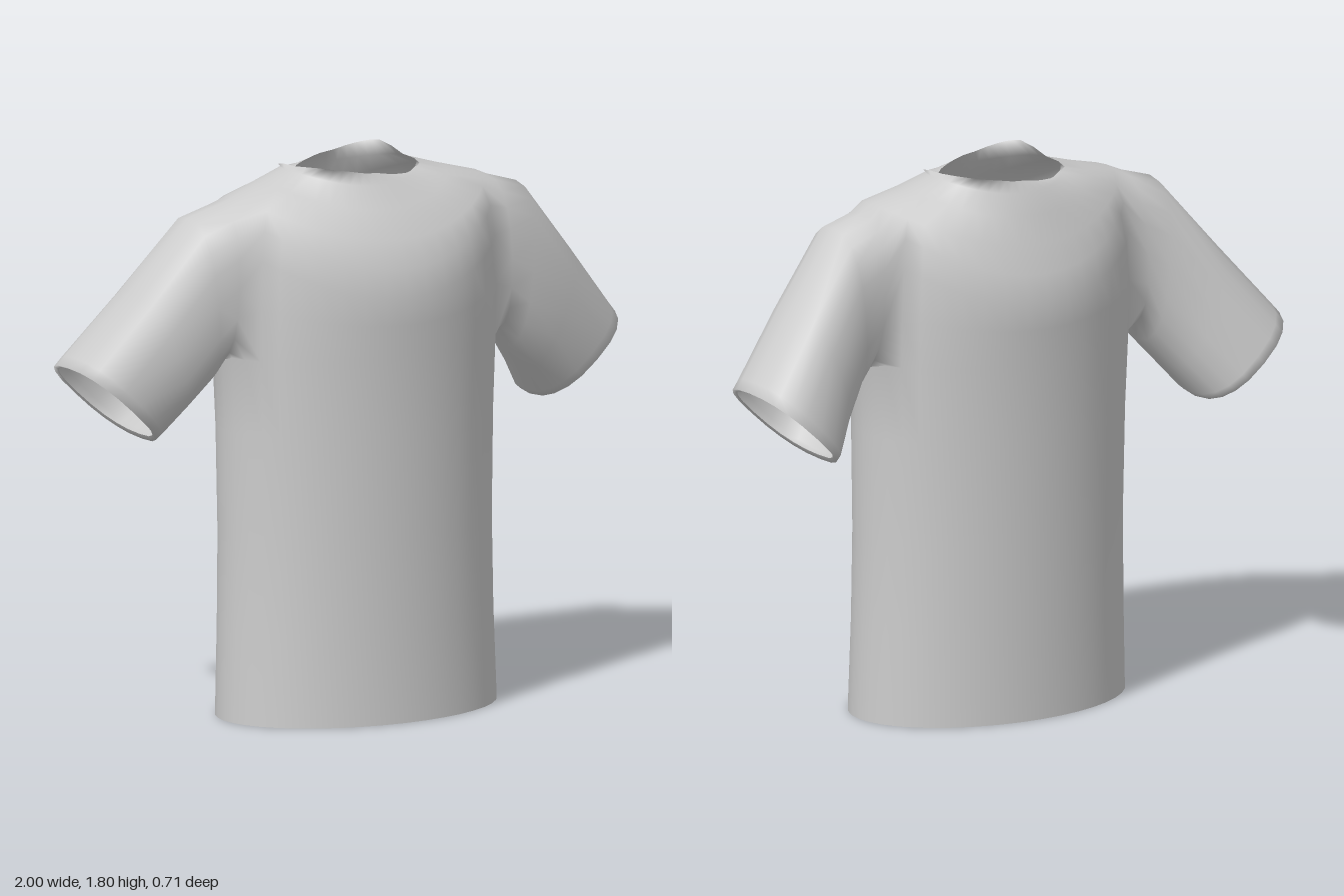
import * as THREE from 'three';

const N = 40;      // columns around the torso, column 0 at +x, column 10 at the front
const HALF = 3;    // half width of an armhole, in columns
const LOW = 4;     // ring at the armpit
const HIGH = 8;    // ring at the top of the armhole
const LOOP = 20;   // points around a sleeve

// Torso rings: half width, front z, back z, y at front and back, y at the sides
const RINGS = [
  [0.49, 0.34, -0.31, 0, 0],
  [0.48, 0.335, -0.315, 0.3, 0.3],
  [0.475, 0.335, -0.32, 0.6, 0.6],
  [0.48, 0.34, -0.33, 0.95, 0.95],
  [0.49, 0.345, -0.34, 1.2, 1.2],
  [0.49, 0.354, -0.35, 1.31, 1.38],
  [0.485, 0.355, -0.355, 1.4, 1.56],
  [0.47, 0.34, -0.335, 1.49, 1.66],
  [0.45, 0.3, -0.3, 1.58, 1.715],
  [0.33, 0.235, -0.27, 1.67, 1.745],
  [0.225, 0.18, -0.24, 1.74, 1.775],
];

// Half of the neck rim; the other half is the same turned by 180 degrees
const NECK = [
  [0.2, 1.785, 0], [0.2, 1.775, 0.11], [0.165, 1.745, 0.1], [0.11, 1.755, 0.145],
  [0.05, 1.765, 0.175], [0, 1.775, 0.185], [-0.05, 1.78, 0.19], [-0.1, 1.79, 0.19],
  [-0.16, 1.8, 0.18], [-0.2, 1.805, 0.15],
];

// Sleeve rings: top x, top y, bottom x, bottom y, front z, back z
const SLEEVE = [
  [0.5, 1.693, 0.515, 1.185, 0.145, -0.165],
  [0.61, 1.66, 0.56, 1.12, 0.15, -0.175],
  [0.8, 1.43, 0.635, 1.03, 0.125, -0.235],
  [0.975, 1.22, 0.7, 0.945, 0.085, -0.3],
  [1.0, 1.19, 0.72, 0.928, 0.08, -0.305],
  [0.985, 1.182, 0.73, 0.945, 0.068, -0.293],
];

const soften = (v) => Math.sign(v) * Math.pow(Math.abs(v), 0.82);

export function createModel() {
  const group = new THREE.Group();
  group.name = 'shirt';
  const cloth = new THREE.MeshStandardMaterial({ color: 0xcccccc, side: THREE.DoubleSide });
  cloth.name = 'light grey cloth';

  const positions = [];
  const add = (x, y, z) => positions.push(x, y, z) / 3 - 1;
  const quad = (list, a, b, c, d, flip) =>
    flip ? list.push(a, c, b, a, d, c) : list.push(a, b, c, a, c, d);

  // Torso points
  const grid = RINGS.map(([w, zf, zb, yf, ys]) =>
    Array.from({ length: N }, (_, i) => {
      const t = (i / N) * Math.PI * 2;
      const y = yf + (ys - yf) * Math.cos(t) ** 2;
      return add(w * Math.cos(t), y, (zf + zb) / 2 + ((zf - zb) / 2) * Math.sin(t));
    }));

  // Uneven neck rim with a small fold on each shoulder
  const rim = [1, -1].flatMap((s) =>
    NECK.map(([x, y, z]) => new THREE.Vector3(s * x, y, s * z - 0.03)));
  const neck = new THREE.CatmullRomCurve3(rim, true);
  grid.push(Array.from({ length: N }, (_, i) => {
    const p = neck.getPoint(i / N);
    return add(p.x, p.y, p.z);
  }));

  // Torso faces, leaving an armhole on each side
  const torso = [];
  for (let j = 0; j < grid.length - 1; j++) {
    for (let i = 0; i < N; i++) {
      const fromSide = Math.abs((((i + 0.5) + N / 4) % (N / 2)) - N / 4);
      if (j >= LOW && j < HIGH && fromSide < HALF) continue;
      const n = (i + 1) % N;
      quad(torso, grid[j][i], grid[j + 1][i], grid[j + 1][n], grid[j][n], false);
    }
  }

  // Sleeve grown from the edge of its armhole
  const makeSleeve = (side) => {
    const at = (row, col) => grid[row][(side > 0 ? col + N : N / 2 - col) % N];
    const edge = [];
    for (let c = 0; c <= HALF; c++) edge.push(at(LOW, c));
    for (let r = LOW + 1; r < HIGH; r++) edge.push(at(r, HALF));
    for (let c = HALF; c >= -HALF; c--) edge.push(at(HIGH, c));
    for (let r = HIGH - 1; r > LOW; r--) edge.push(at(r, -HALF));
    for (let c = -HALF; c < 0; c++) edge.push(at(LOW, c));

    const rings = [edge];
    for (const [tx, ty, bx, by, zf, zb] of SLEEVE) {
      rings.push(Array.from({ length: LOOP }, (_, k) => {
        const a = (k / LOOP) * Math.PI * 2;
        const u = soften(Math.cos(a)) / 2;
        const v = soften(Math.sin(a)) / 2;
        return add(side * ((tx + bx) / 2 + (bx - tx) * u),
          (ty + by) / 2 + (by - ty) * u, (zf + zb) / 2 + (zf - zb) * v);
      }));
    }
    const faces = [];
    for (let s = 0; s < rings.length - 1; s++) {
      for (let k = 0; k < LOOP; k++) {
        const n = (k + 1) % LOOP;
        quad(faces, rings[s][k], rings[s + 1][k], rings[s + 1][n], rings[s][n], side < 0);
      }
    }
    return faces;
  };
  const parts = { torso, leftSleeve: makeSleeve(1), rightSleeve: makeSleeve(-1) };

  // Shared points and normals keep the shoulder joins smooth
  const whole = new THREE.BufferGeometry();
  whole.setAttribute('position', new THREE.Float32BufferAttribute(positions, 3));
  whole.setIndex(Object.values(parts).flat());
  whole.computeVertexNormals();

  for (const [name, faces] of Object.entries(parts)) {
    const geometry = new THREE.BufferGeometry();
    geometry.setAttribute('position', whole.getAttribute('position'));
    geometry.setAttribute('normal', whole.getAttribute('normal'));
    geometry.setIndex(faces);
    const mesh = new THREE.Mesh(geometry, cloth);
    mesh.name = name;
    group.add(mesh);
  }
  return group;
}
